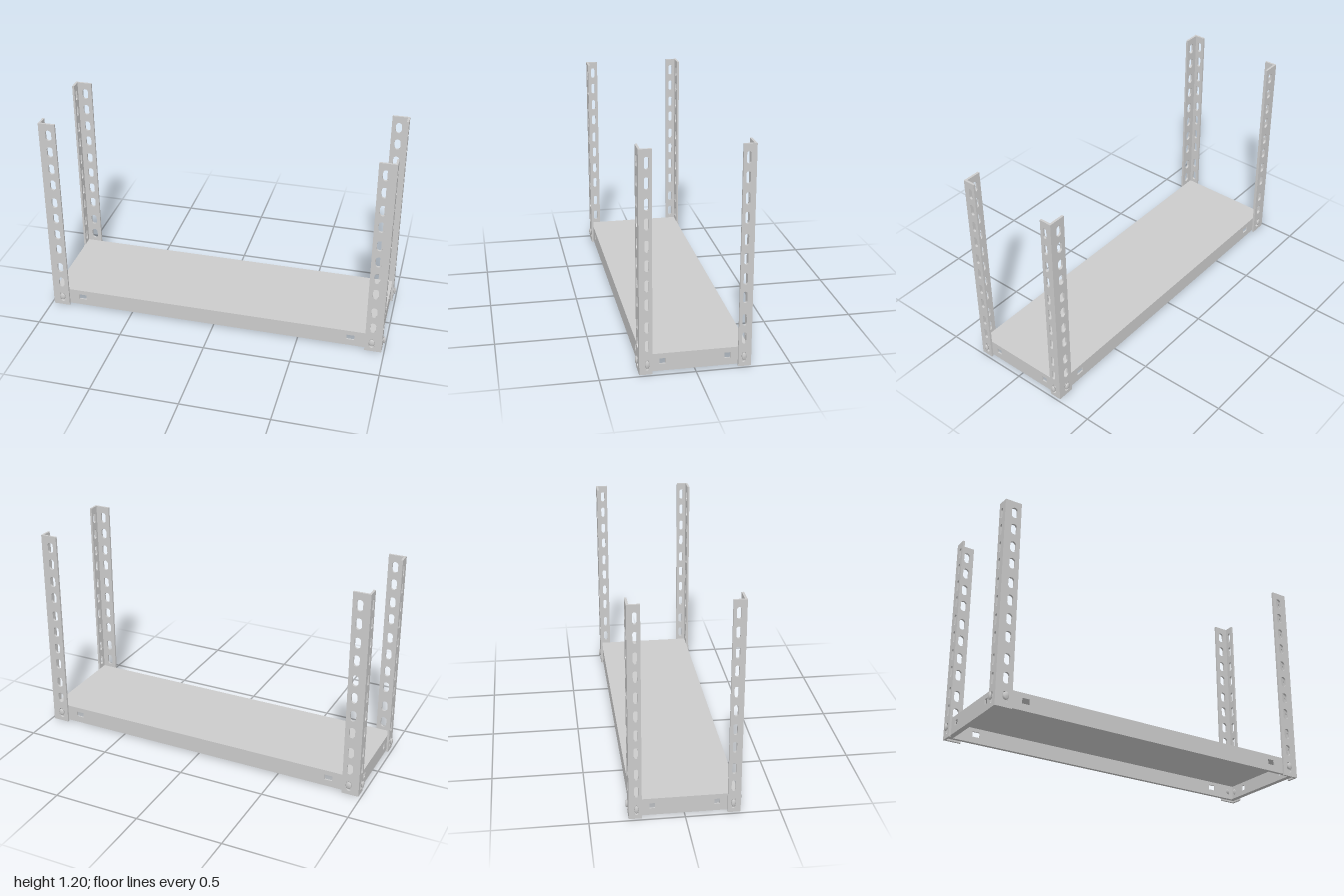
import * as THREE from 'three';

const material = new THREE.MeshStandardMaterial({ color: 0xcccccc });

// Outer faces of the tray, and the gauge of the steel
const TX = 0.973, TZ = 0.281, TRAY_BOTTOM = 0.01, TRAY_TOP = 0.107, SHEET = 0.008;
const POST_T = 0.012, POST_H = 1.197, BOLT_Y = 0.06;
const SLOT_Y = [0.054, 0.159, 0.262, 0.387, 0.489, 0.597, 0.7, 0.816, 0.917, 1.025, 1.127];

function add(parent, name, geometry, x = 0, y = 0, z = 0) {
  const mesh = new THREE.Mesh(geometry, material);
  mesh.name = name;
  mesh.position.set(x, y, z);
  parent.add(mesh);
  return mesh;
}

function rectangle(x0, y0, x1, y1) {
  return new THREE.Shape([[x0, y0], [x1, y0], [x1, y1], [x0, y1]].map(p => new THREE.Vector2(...p)));
}

// Upright slot with round ends (w and h may differ in scale, so the ends are half ellipses)
function slot(cx, cy, w, h) {
  const path = new THREE.Path();
  const ry = w * 0.5, s = Math.max(h / 2 - ry, 0);
  path.absellipse(cx, cy + s, w / 2, ry, 0, Math.PI, false, 0);
  path.absellipse(cx, cy - s, w / 2, ry, Math.PI, Math.PI * 2, false, 0);
  path.closePath();
  return path;
}

function plate(shape, depth) {
  return new THREE.ExtrudeGeometry(shape, { depth, bevelEnabled: false, curveSegments: 10 });
}

// Slotted strip spanning a..b along its width, rising from the ground
function flange(a, b, slotAt, slotWidth) {
  const shape = rectangle(a, 0, b, POST_H);
  SLOT_Y.forEach(y => shape.holes.push(slot(slotAt, y, slotWidth, 0.063)));
  return plate(shape, POST_T);
}

// Tray wall with a rectangular hole near each end
function skirt(half, holeAt, holeWidth) {
  const shape = rectangle(-half, TRAY_BOTTOM, half, TRAY_TOP);
  for (const s of [-1, 1]) {
    const x = s * holeAt, w = holeWidth / 2;
    shape.holes.push(rectangle(x - w, 0.049, x + w, 0.079));
  }
  return plate(shape, SHEET);
}

// Bolt with its axis along z: domed outer head, shank and inner nut
function bolt(width) {
  const group = new THREE.Group();
  const profile = [[0, -0.004], [0.021, -0.004], [0.021, 0.003], [0.015, 0.007], [0, 0.008]]
    .map(p => new THREE.Vector2(...p));
  const parts = [
    ['boltHead', new THREE.LatheGeometry(profile, 20), 0.004],
    ['boltShank', new THREE.CylinderGeometry(0.011, 0.011, 0.036, 12), -0.016],
    ['boltNut', new THREE.CylinderGeometry(0.018, 0.018, 0.01, 6), -0.026],
  ];
  for (const [name, geometry, z] of parts) {
    geometry.rotateX(Math.PI / 2);
    geometry.scale(width / 0.042, 1, 1);
    add(group, name, geometry, 0, 0, z);
  }
  return group;
}

function buildTray() {
  const tray = new THREE.Group();
  tray.name = 'tray';
  add(tray, 'trayTop', new THREE.BoxGeometry(TX * 2, SHEET, TZ * 2), 0, TRAY_TOP - SHEET / 2, 0);
  const lip = 0.03;
  for (const s of [-1, 1]) {
    const turn = s > 0 ? 0 : Math.PI;
    const long = add(tray, 'longSkirt', skirt(TX, 0.804, 0.045), 0, 0, s * (TZ - SHEET));
    long.rotation.y = turn;
    const end = add(tray, 'endSkirt', skirt(TZ, 0.17, 0.03), s * (TX - SHEET), 0, 0);
    end.rotation.y = turn + Math.PI / 2;
    // Folded lips along the bottom edge
    add(tray, 'longLip', new THREE.BoxGeometry(TX * 2, 0.006, lip * 0.67),
      0, TRAY_BOTTOM + 0.003, s * (TZ - lip * 0.335));
    add(tray, 'endLip', new THREE.BoxGeometry(lip, 0.006, TZ * 2),
      s * (TX - lip / 2), TRAY_BOTTOM + 0.003, 0);
  }
  return tray;
}

// Corner post, made so a half turn gives the opposite corner; side = +1 or -1 in x
function buildPost(side) {
  const post = new THREE.Group();
  post.name = 'cornerPost';
  const outX = TX + POST_T, outZ = TZ + POST_T;
  // Wide face towards the front
  const x0 = Math.min(side * 0.888, side * outX), x1 = Math.max(side * 0.888, side * outX);
  add(post, 'wideFlange', flange(x0, x1, side * 0.928, 0.034), 0, 0, TZ);
  // Narrow face towards the end: local x runs along -side * z
  const z0 = 0.225, z1 = TZ;
  const narrow = side > 0 ? flange(-z1, -z0, -0.253, 0.022) : flange(z0, z1, 0.253, 0.022);
  add(post, 'narrowFlange', narrow, side * TX, 0, 0).rotation.y = side * Math.PI / 2;
  // Bolts through the lowest slots
  const front = bolt(0.034);
  front.name = 'frontBolt';
  front.position.set(side * 0.928, BOLT_Y, outZ);
  const end = bolt(0.024);
  end.name = 'endBolt';
  end.position.set(side * (outX + 0.003), BOLT_Y, 0.253);
  end.rotation.y = side * Math.PI / 2;
  post.add(front, end);
  return post;
}

export function createModel() {
  const model = new THREE.Group();
  model.name = 'shelfUnit';
  model.add(buildTray());
  for (const side of [-1, 1]) {
    for (const turn of [0, Math.PI]) {
      const post = buildPost(side);
      post.rotation.y = turn;
      model.add(post);
    }
  }
  return model;
}
